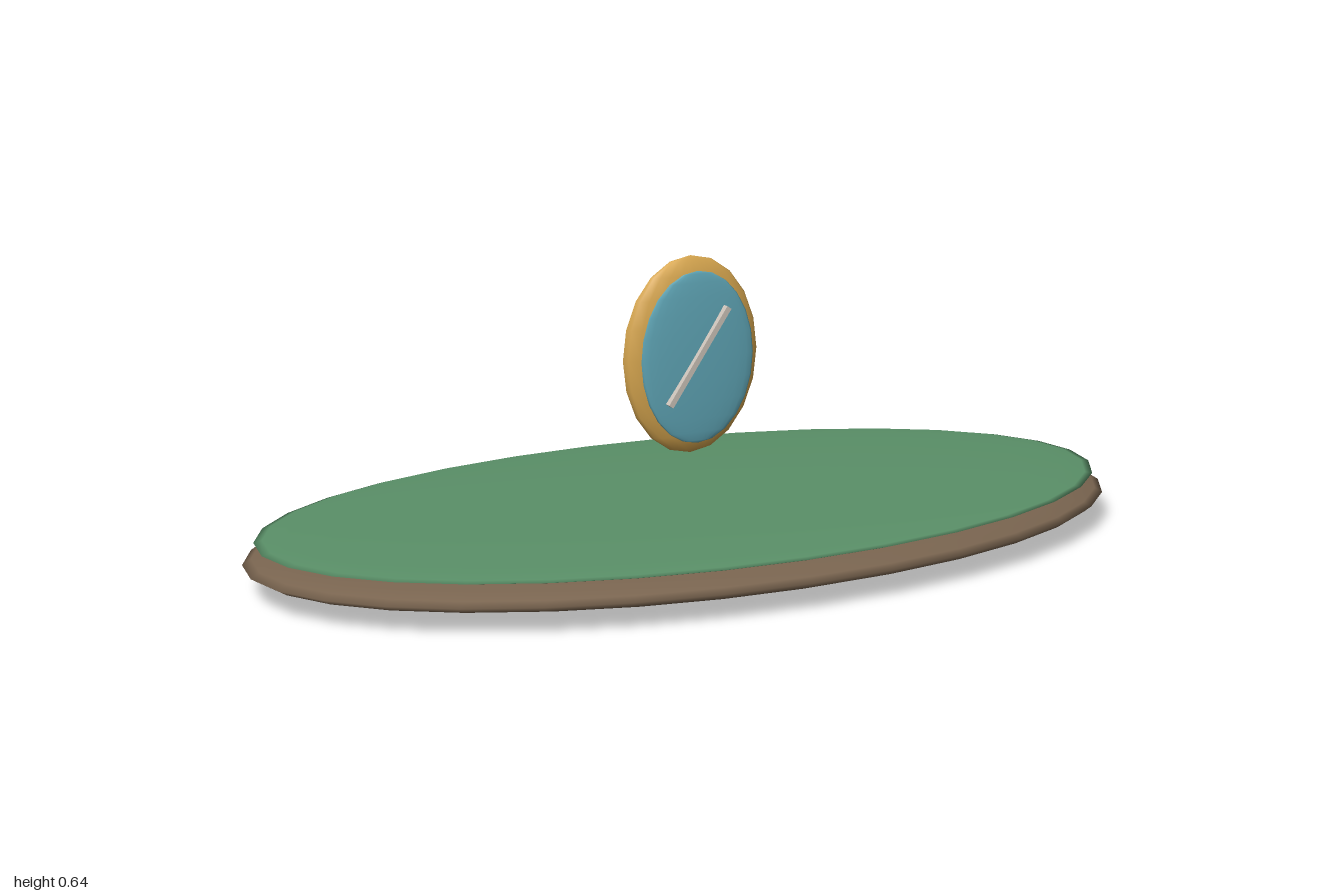
import * as THREE from 'three';

const paint = (name, color) => {
  const m = new THREE.MeshStandardMaterial({ color });
  m.name = name;
  return m;
};

export function createModel() {
  const model = new THREE.Group();
  model.name = 'medallionOnOvalBase';

  const brown = paint('brown', 0x7a6550);
  const green = paint('green', 0x5a9068);
  const gold = paint('gold', 0xd9a850);
  const blue = paint('blue', 0x62aabb);
  const silver = paint('paleGrey', 0xcfc6bc);

  // A flattened sphere given by its centre and half sizes
  const disc = (name, material, segments, centre, radii) => {
    const geometry = new THREE.SphereGeometry(1, segments, segments / 2);
    geometry.scale(...radii);
    const mesh = new THREE.Mesh(geometry, material);
    mesh.name = name;
    mesh.position.set(...centre);
    model.add(mesh);
  };

  // Oval base with its green top
  disc('base', brown, 32, [0, 0.059, 0], [1, 0.058, 0.545]);
  disc('greenTop', green, 32, [0, 0.104, 0], [0.975, 0.019, 0.527]);

  // Floating medallion: gold rim and back, blue face at the front
  disc('medallion', gold, 20, [0, 0.425, 0], [0.16, 0.215, 0.035]);
  disc('medallionFace', blue, 24, [0, 0.425, 0.034], [0.133, 0.187, 0.011]);

  // Slanted bar across the face
  const bar = new THREE.Mesh(new THREE.BoxGeometry(0.012, 0.245, 0.016), silver);
  bar.name = 'slantedBar';
  bar.position.set(-0.005, 0.43, 0.049);
  bar.rotation.z = -0.6;
  model.add(bar);

  return model;
}
